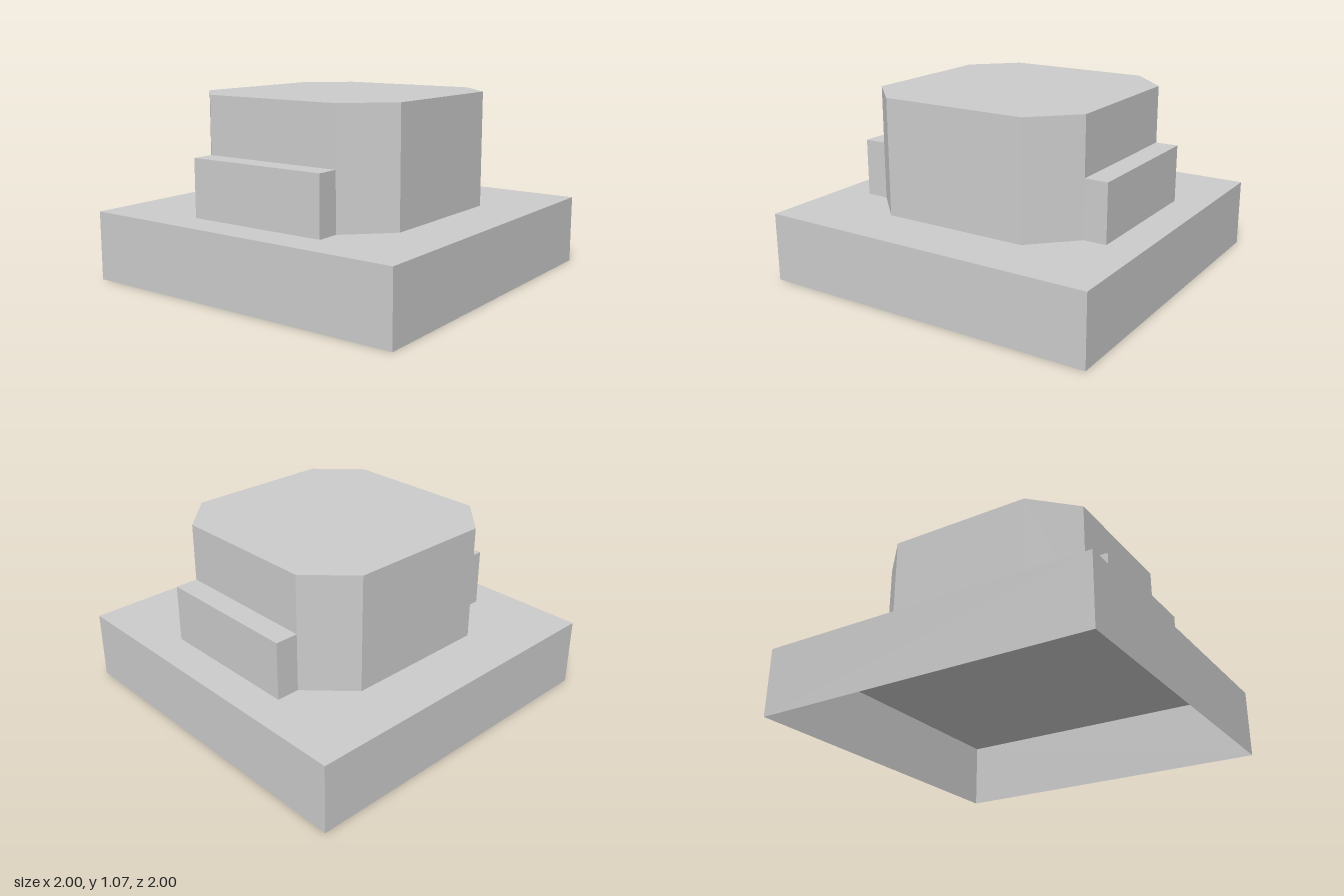
import * as THREE from 'three';

const material = new THREE.MeshStandardMaterial({ color: 0xcccccc, flatShading: true });
const thinMaterial = new THREE.MeshStandardMaterial({ color: 0xcccccc, flatShading: true, side: THREE.DoubleSide });

const BASE_TOP = 0.4;
const BLOCK_TOP = 1.07;
const STEP_TOP = 0.735;
const HALF = 0.667; // half width of the block
const FLAT = 0.432; // half length of its straight sides
const STEP_OUT = 0.8;

function addMesh(parent, name, geometry, mat = material) {
  const mesh = new THREE.Mesh(geometry, mat);
  mesh.name = name;
  parent.add(mesh);
  return mesh;
}

// Box without its underside (the fourth face of a BoxGeometry)
function openBox(w, h, d) {
  const geometry = new THREE.BoxGeometry(w, h, d);
  const index = Array.from(geometry.index.array);
  index.splice(18, 6);
  geometry.setIndex(index);
  geometry.clearGroups();
  return geometry;
}

export function createModel() {
  const model = new THREE.Group();
  model.name = 'steppedBlock';

  // Square base: a thin shell, open underneath
  addMesh(model, 'base', openBox(2, BASE_TOP, 2), thinMaterial).position.y = BASE_TOP / 2;

  // Main block with chamfered corners
  const outline = new THREE.Shape([
    [FLAT, -HALF], [HALF, -FLAT], [HALF, FLAT], [FLAT, HALF],
    [-FLAT, HALF], [-HALF, FLAT], [-HALF, -FLAT], [-FLAT, -HALF],
  ].map(([x, y]) => new THREE.Vector2(x, y)));
  const block = new THREE.ExtrudeGeometry(outline, { depth: BLOCK_TOP - BASE_TOP, bevelEnabled: false });
  block.rotateX(-Math.PI / 2);
  addMesh(model, 'chamferedBlock', block).position.y = BASE_TOP;

  // Low steps against the front and back
  for (const [name, side] of [['frontStep', 1], ['backStep', -1]]) {
    const height = STEP_TOP - BASE_TOP;
    const step = addMesh(model, name, new THREE.BoxGeometry(FLAT * 2, height, STEP_OUT - HALF));
    step.position.set(0, BASE_TOP + height / 2, side * (STEP_OUT + HALF) / 2);
  }

  return model;
}
